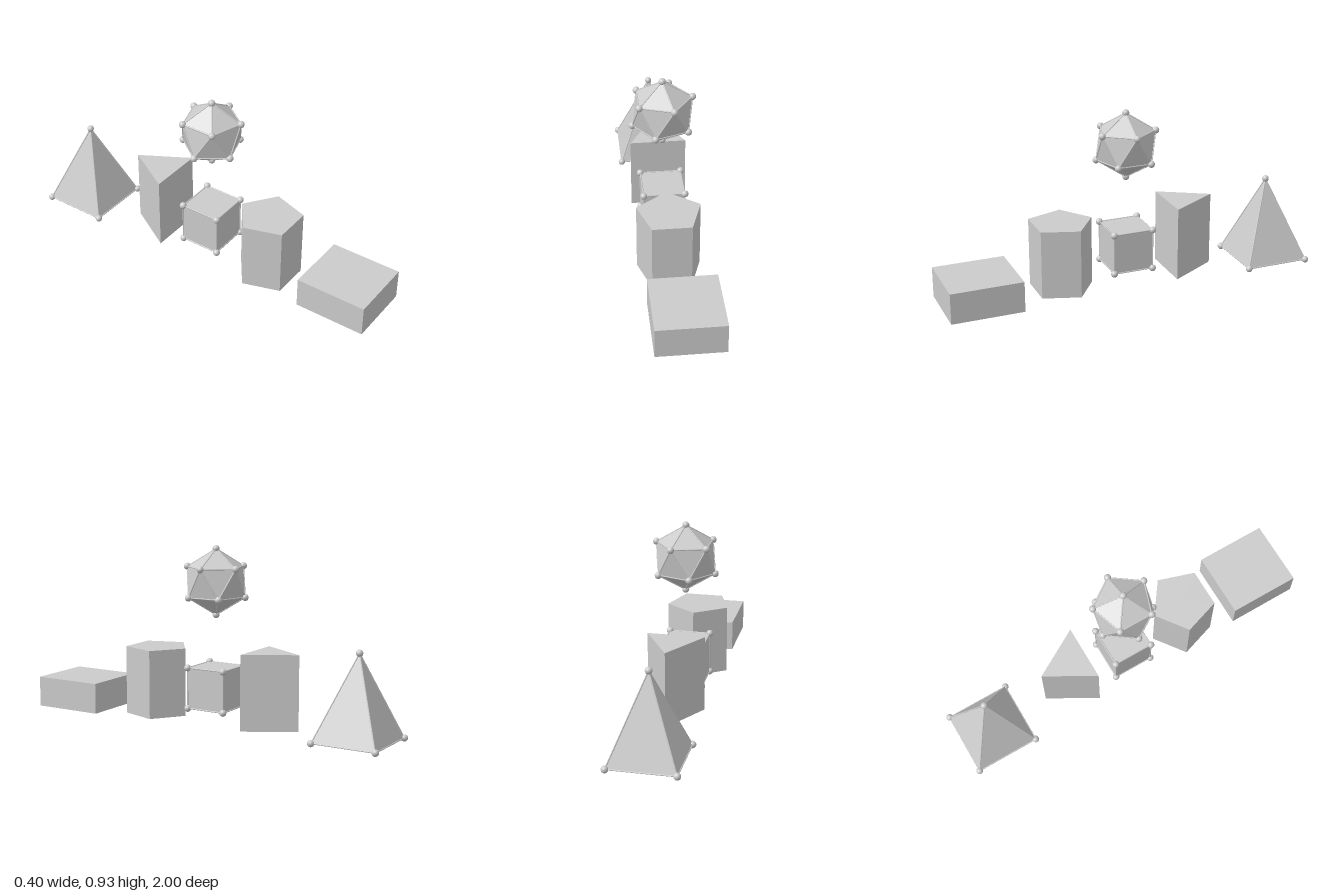
import * as THREE from 'three';
import { ConvexGeometry } from 'three/addons/geometries/ConvexGeometry.js';

const CX = -0.013;    // shared axis of the solids
const BASE = 0.019;   // height of the undersides
const BALL = 0.018;   // corner ball radius
const ROD = 0.0035;   // edge rod radius

const flat = new THREE.MeshStandardMaterial({ color: 0xcccccc, flatShading: true });
const smooth = new THREE.MeshStandardMaterial({ color: 0xcccccc });
const V = (x, y, z) => new THREE.Vector3(x, y, z);

function addMesh(parent, name, geometry, material, x = 0, y = 0, z = 0) {
  const mesh = new THREE.Mesh(geometry, material);
  mesh.name = name;
  mesh.position.set(x, y, z);
  parent.add(mesh);
  return mesh;
}

// Upright regular prism with one corner pointing to the back
function prism(parent, name, sides, radius, top, z) {
  const height = top - BASE;
  const geometry = new THREE.CylinderGeometry(radius, radius, height, sides, 1, false, Math.PI);
  addMesh(parent, name, geometry, flat, CX, BASE + height / 2, z);
}

// Convex solid with a ball on each corner and a rod along each edge
function framedSolid(parent, name, corners, edges) {
  const group = new THREE.Group();
  group.name = name;
  parent.add(group);
  addMesh(group, name + 'Body', new ConvexGeometry(corners), flat);
  const ball = new THREE.SphereGeometry(BALL, 20, 14);
  corners.forEach((c) => addMesh(group, 'cornerBall', ball, smooth, c.x, c.y, c.z));
  for (const [i, j] of edges) {
    const a = corners[i], b = corners[j];
    const along = b.clone().sub(a);
    const mid = a.clone().add(b).multiplyScalar(0.5);
    const geometry = new THREE.CylinderGeometry(ROD, ROD, along.length(), 8, 1, true);
    const rod = addMesh(group, 'edgeRod', geometry, smooth, mid.x, mid.y, mid.z);
    rod.quaternion.setFromUnitVectors(V(0, 1, 0), along.normalize());
  }
}

// All corner pairs that are one edge length apart
function pairsAt(corners, length) {
  const pairs = [];
  corners.forEach((a, i) => corners.forEach((b, j) => {
    if (j > i && Math.abs(a.distanceTo(b) - length) < 0.01) pairs.push([i, j]);
  }));
  return pairs;
}

export function createModel() {
  const model = new THREE.Group();
  model.name = 'geometricSolids';

  // Plain solids
  const boxHeight = 0.18 - BASE;
  addMesh(model, 'squareBox', new THREE.BoxGeometry(0.348, boxHeight, 0.377), flat,
    0.024, BASE + boxHeight / 2, 0.8115);
  prism(model, 'pentagonalPrism', 5, 0.17, 0.38, 0.36);
  prism(model, 'triangularPrism', 3, 0.169, 0.41, -0.316);

  // Cube
  const h = 0.1065;
  const cube = [];
  for (const x of [-h, h]) for (const y of [-h, h]) for (const z of [-h, h]) {
    cube.push(V(CX + x, 0.197 + y, z));
  }
  framedSolid(model, 'cube', cube, pairsAt(cube, 2 * h));

  // Square pyramid
  const w = 0.17, pz = -0.812;
  const pyramid = [
    V(CX - w, BASE, pz - w), V(CX + w, BASE, pz - w),
    V(CX + w, BASE, pz + w), V(CX - w, BASE, pz + w), V(CX, 0.452, pz),
  ];
  const pyramidEdges = [];
  for (let i = 0; i < 4; i++) pyramidEdges.push([i, (i + 1) % 4], [i, 4]);
  framedSolid(model, 'squarePyramid', pyramid, pyramidEdges);

  // Floating icosahedron: two poles and two opposed rings of five
  const R = 0.17, cy = 0.745, ring = 2 * R / Math.sqrt(5);
  const ico = [V(CX, cy + R, 0), V(CX, cy - R, 0)];
  for (let i = 0; i < 5; i++) {
    const a = i * Math.PI * 2 / 5;
    const x = ring * Math.cos(a), z = ring * Math.sin(a);
    ico.push(V(CX + x, cy + ring / 2, z), V(CX - x, cy - ring / 2, -z));
  }
  framedSolid(model, 'icosahedron', ico, pairsAt(ico, ico[0].distanceTo(ico[2])));

  return model;
}
